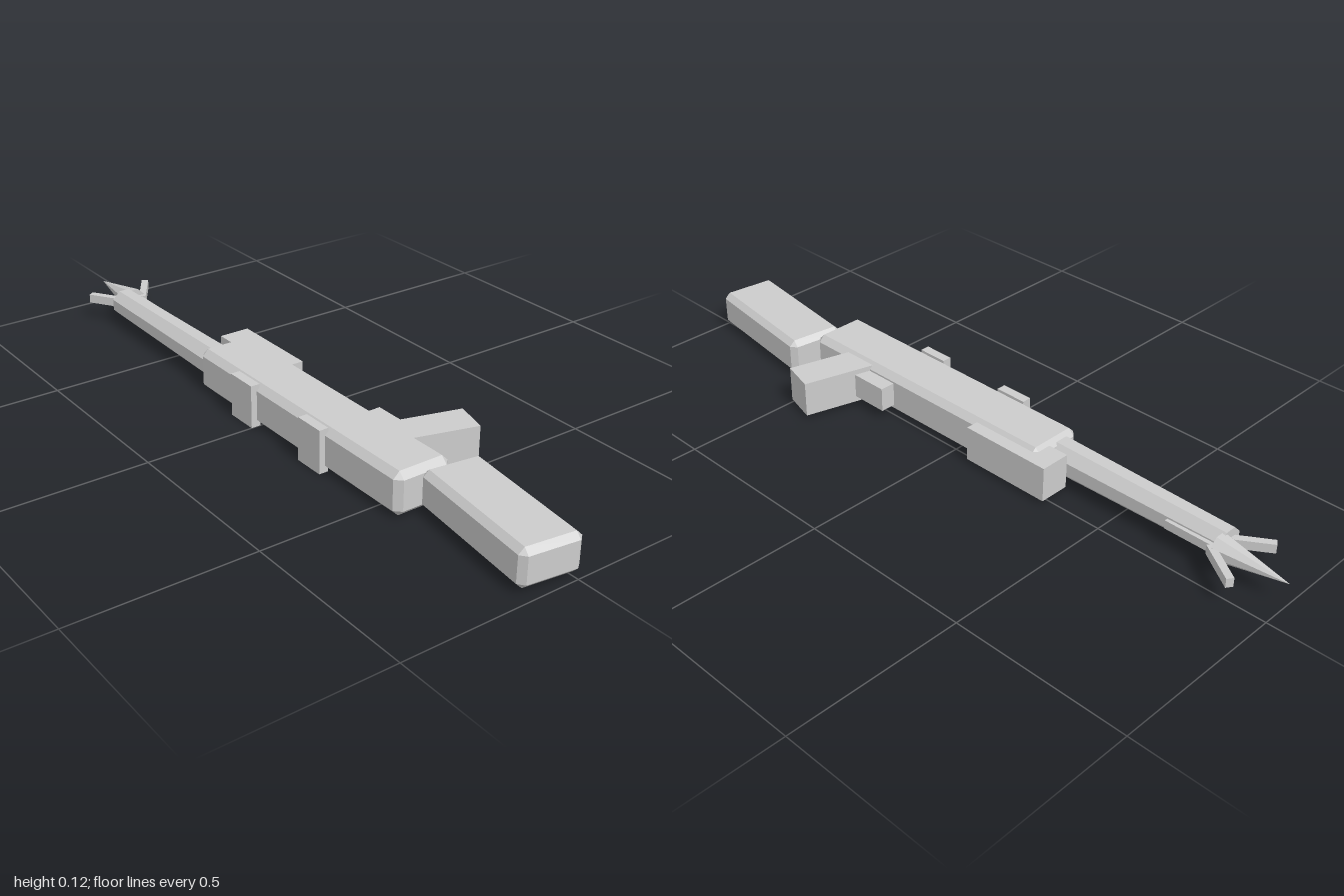
import * as THREE from 'three';
import { ConvexGeometry } from 'three/addons/geometries/ConvexGeometry.js';

// Box with every edge cut at 45 degrees
function chamferBox(w, h, d, b) {
  const pts = [];
  for (const sx of [-1, 1]) for (const sy of [-1, 1]) for (const sz of [-1, 1]) {
    const x = w / 2, y = h / 2, z = d / 2;
    pts.push(new THREE.Vector3(sx * x, sy * (y - b), sz * (z - b)));
    pts.push(new THREE.Vector3(sx * (x - b), sy * y, sz * (z - b)));
    pts.push(new THREE.Vector3(sx * (x - b), sy * (y - b), sz * z));
  }
  return new ConvexGeometry(pts);
}

export function createModel() {
  const model = new THREE.Group();
  model.name = 'harpoonGun';
  const grey = new THREE.MeshStandardMaterial({ color: 0xcccccc });
  grey.name = 'lightGrey';
  grey.flatShading = true;

  function add(name, geometry, x, y, z, turn = 0) {
    const mesh = new THREE.Mesh(geometry, grey);
    mesh.name = name;
    mesh.position.set(x, y, z);
    mesh.rotation.y = turn;
    model.add(mesh);
    return mesh;
  }
  // Plain box given by its limits
  const block = (name, x0, x1, y0, y1, z0, z1) =>
    add(name, new THREE.BoxGeometry(x1 - x0, y1 - y0, z1 - z0),
      (x0 + x1) / 2, (y0 + y1) / 2, (z0 + z1) / 2);
  // Eight-sided rod along x, flats facing up and sideways
  function rod(radiusTip, radiusBase, length) {
    return new THREE.CylinderGeometry(radiusTip, radiusBase, length, 8)
      .rotateY(Math.PI / 8).rotateZ(Math.PI / 2);
  }

  // Body and angled stock
  add('body', chamferBox(0.865, 0.12, 0.165, 0.018), 0.15, 0.063, 0.087);
  add('stock', chamferBox(0.405, 0.105, 0.17, 0.016), 0.785, 0.0635, 0.04, -0.132);

  // Grip and trigger on the back
  add('grip', new THREE.BoxGeometry(0.1, 0.102, 0.22), 0.42, 0.064, -0.068, -0.27);
  block('trigger', 0.25, 0.39, 0.03, 0.1, -0.04, 0.02);

  // Magazine block behind the barrel end of the body
  block('magazine', -0.335, -0.065, 0.013, 0.113, -0.024, 0.065);

  // Straps on the front face
  block('strapRight', -0.095, 0, 0.002, 0.124, 0.16, 0.187);
  block('strapLeft', 0.21, 0.3, 0.002, 0.124, 0.16, 0.187);

  // Tapered barrel with a thin rail at the muzzle
  add('barrel', rod(0.042, 0.05, 0.54), -0.54, 0.066, 0.111);
  block('muzzleRail', -0.81, -0.655, 0.054, 0.078, 0.06, 0.08);

  // Pointed tip
  add('tip', rod(0, 0.038, 0.2), -0.9, 0.066, 0.083);

  // Barbs swept out on both sides of the tip
  for (const s of [-1, 1]) {
    add(s < 0 ? 'barbBack' : 'barbFront', new THREE.BoxGeometry(0.13, 0.026, 0.02),
      -0.845, 0.067, 0.083 + s * 0.059, s * 0.58);
  }

  return model;
}
